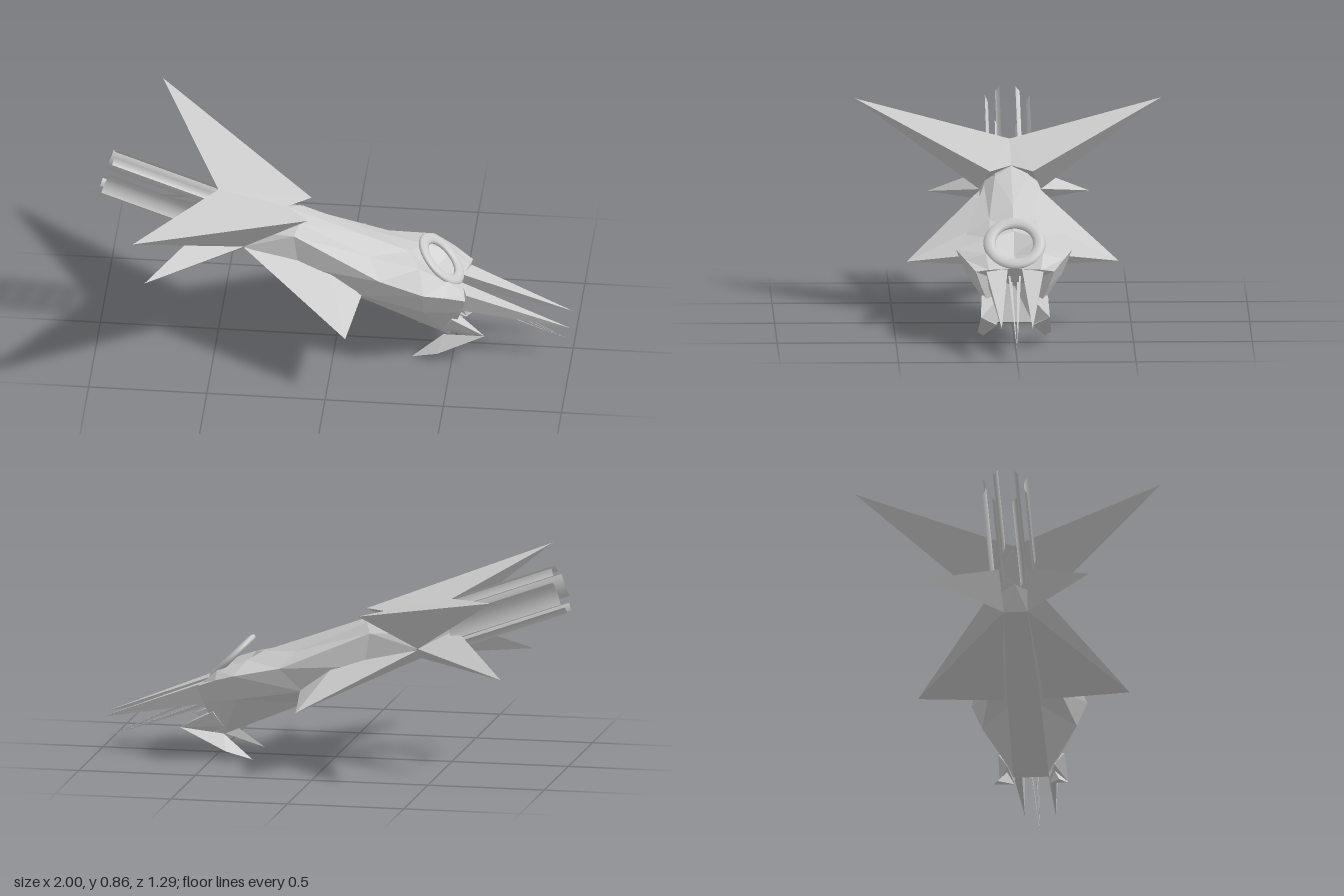
import * as THREE from 'three';
import { ConvexGeometry } from 'three/addons/geometries/ConvexGeometry.js';

const faceted = new THREE.MeshStandardMaterial({ color: 0xcccccc, flatShading: true });
const thin = new THREE.MeshStandardMaterial({ color: 0xcccccc, side: THREE.DoubleSide });
const smooth = new THREE.MeshStandardMaterial({ color: 0xcccccc });

function add(parent, name, geometry, material = faceted) {
  const mesh = new THREE.Mesh(geometry, material);
  mesh.name = name;
  parent.add(mesh);
  return mesh;
}

// Faceted solid spanning a few corners, repeated on both sides of z = 0
function addPair(parent, name, corners) {
  for (const s of [1, -1]) {
    const pts = corners.map(([x, y, z]) => new THREE.Vector3(x, y, z * s));
    add(parent, name + (s > 0 ? 'Front' : 'Back'), new ConvexGeometry(pts));
  }
}

// Lofted hull: each station lists ridge, deck, shoulder, side and keel
function hullGeometry() {
  const stations = [
    [[-0.5, 0.68, 0], [-0.45, 0.62, 0.06], [-0.42, 0.565, 0.1], [-0.38, 0.505, 0.13], [-0.38, 0.45, 0.05]],
    [[-0.21, 0.632, 0], [-0.15, 0.597, 0.07], [-0.17, 0.56, 0.115], [-0.15, 0.42, 0.13], [-0.14, 0.345, 0.06]],
    [[0.1, 0.518, 0], [0.15, 0.467, 0.1], [0.2, 0.41, 0.2], [0.11, 0.305, 0.15], [0.11, 0.242, 0.07]],
    [[0.31, 0.442, 0], [0.36, 0.42, 0.1], [0.39, 0.378, 0.245], [0.385, 0.27, 0.2], [0.46, 0.095, 0.075]],
    // Sunken cockpit floor between raised rims
    [[0.4, 0.355, 0], [0.485, 0.375, 0.12], [0.475, 0.35, 0.208], [0.46, 0.255, 0.17], [0.475, 0.09, 0.075]],
    [[0.53, 0.32, 0], [0.55, 0.318, 0.11], [0.56, 0.312, 0.165], [0.54, 0.24, 0.14], [0.485, 0.085, 0.075]],
  ];
  const rings = stations.map((half) => [
    ...half,
    ...half.slice(1).reverse().map(([x, y, z]) => [x, y, -z]),
  ]);
  const n = rings[0].length;
  const out = [];
  const tri = (a, b, c) => out.push(...a, ...b, ...c);
  for (let i = 0; i < rings.length - 1; i++) {
    for (let j = 0; j < n; j++) {
      const k = (j + 1) % n;
      // Diagonals mirror from one side to the other
      if (j < n / 2) {
        tri(rings[i][j], rings[i][k], rings[i + 1][j]);
        tri(rings[i][k], rings[i + 1][k], rings[i + 1][j]);
      } else {
        tri(rings[i][j], rings[i][k], rings[i + 1][k]);
        tri(rings[i][j], rings[i + 1][k], rings[i + 1][j]);
      }
    }
  }
  // Recessed mouth and closed tail
  const mouth = [0.44, 0.23, 0], tail = [-0.42, 0.56, 0];
  const first = rings[0], last = rings[rings.length - 1];
  for (let j = 0; j < n; j++) {
    const k = (j + 1) % n;
    tri(mouth, last[j], last[k]);
    tri(tail, first[k], first[j]);
  }
  const g = new THREE.BufferGeometry();
  g.setAttribute('position', new THREE.Float32BufferAttribute(out, 3));
  g.computeVertexNormals();
  return g;
}

export function createModel() {
  const ship = new THREE.Group();
  ship.name = 'ship';
  add(ship, 'hull', hullGeometry());

  // Large swept tail wings, meeting on the centre line
  addPair(ship, 'tailWing', [
    [-0.8, 0.823, 0.645], [-0.115, 0.625, 0.09], [-0.5, 0.7, 0],
    [-0.38, 0.505, 0.13], [-0.21, 0.635, 0],
  ]);
  // Lower tail fins
  addPair(ship, 'tailFin', [
    [-0.78, 0.43, 0.34], [-0.53, 0.58, 0.06], [-0.38, 0.505, 0.13], [-0.38, 0.45, 0.05],
  ]);
  // Middle wings, their undersides running into the keel
  addPair(ship, 'midWing', [
    [0.08, 0.275, 0.447], [-0.38, 0.5, 0.13], [-0.38, 0.452, 0.05], [-0.02, 0.42, 0.12],
    [0.12, 0.31, 0.16], [0.09, 0.26, 0.08],
  ]);
  // Long nose prongs
  addPair(ship, 'noseProng', [
    [0.995, 0.142, 0.065], [0.56, 0.312, 0.12], [0.53, 0.32, 0.03],
    [0.5, 0.235, 0.11], [0.5, 0.25, 0.05],
  ]);
  // Claws: a forward arm, then a blade swept back below
  addPair(ship, 'clawArm', [
    [0.64, 0.13, 0.145], [0.54, 0.085, 0.075], [0.5, 0.2, 0.06],
    [0.5, 0.2, 0.14], [0.46, 0.13, 0.1],
  ]);
  addPair(ship, 'clawBlade', [
    [0.64, 0.13, 0.145], [0.54, 0.08, 0.075], [0.46, 0.1, 0.1],
    [0.44, 0.035, 0.155], [0.33, 0, 0.13],
  ]);

  // Needles running from the cockpit to a point ahead of the mouth
  for (const [y, z] of [[0.37, 0.03], [0.31, 0.018]]) {
    addPair(ship, 'needle', [
      [0.97, 0.05, 0.001], [0.32, y, z - 0.006], [0.32, y, z + 0.006], [0.32, y - 0.03, z],
    ]);
  }

  // Flattened ring around the cockpit
  const ring = new THREE.TorusGeometry(0.105, 0.026, 12, 40);
  ring.scale(1, 1, 0.55).rotateY(Math.PI / 2).rotateZ(Math.PI / 4);
  add(ship, 'cockpitRing', ring, smooth).position.set(0.443, 0.412, 0);

  // Tail strips: outward-hollow curved blades around the sloping axis
  const exhaust = new THREE.Group();
  exhaust.name = 'tailStrips';
  exhaust.position.set(-0.735, 0.675, 0);
  exhaust.rotation.z = THREE.MathUtils.degToRad(-110);
  const strip = (x, z, angle, radius, spread) => {
    const g = new THREE.CylinderGeometry(radius, radius, 0.5, 6, 1, true, Math.PI - spread, 2 * spread);
    g.translate(0, 0, radius).rotateY(angle).translate(x, 0, z);
    add(exhaust, 'tailStrip', g, thin);
  };
  for (const side of [1, -1]) {
    strip(0, 0.08 * side, side > 0 ? 0 : Math.PI, 0.09, 0.58);
    for (const end of [1, -1]) {
      strip(0.085 * end, 0.04 * side, Math.atan2(0.52 * end, 0.85 * side), 0.05, 0.36);
    }
  }
  ship.add(exhaust);

  return ship;
}
